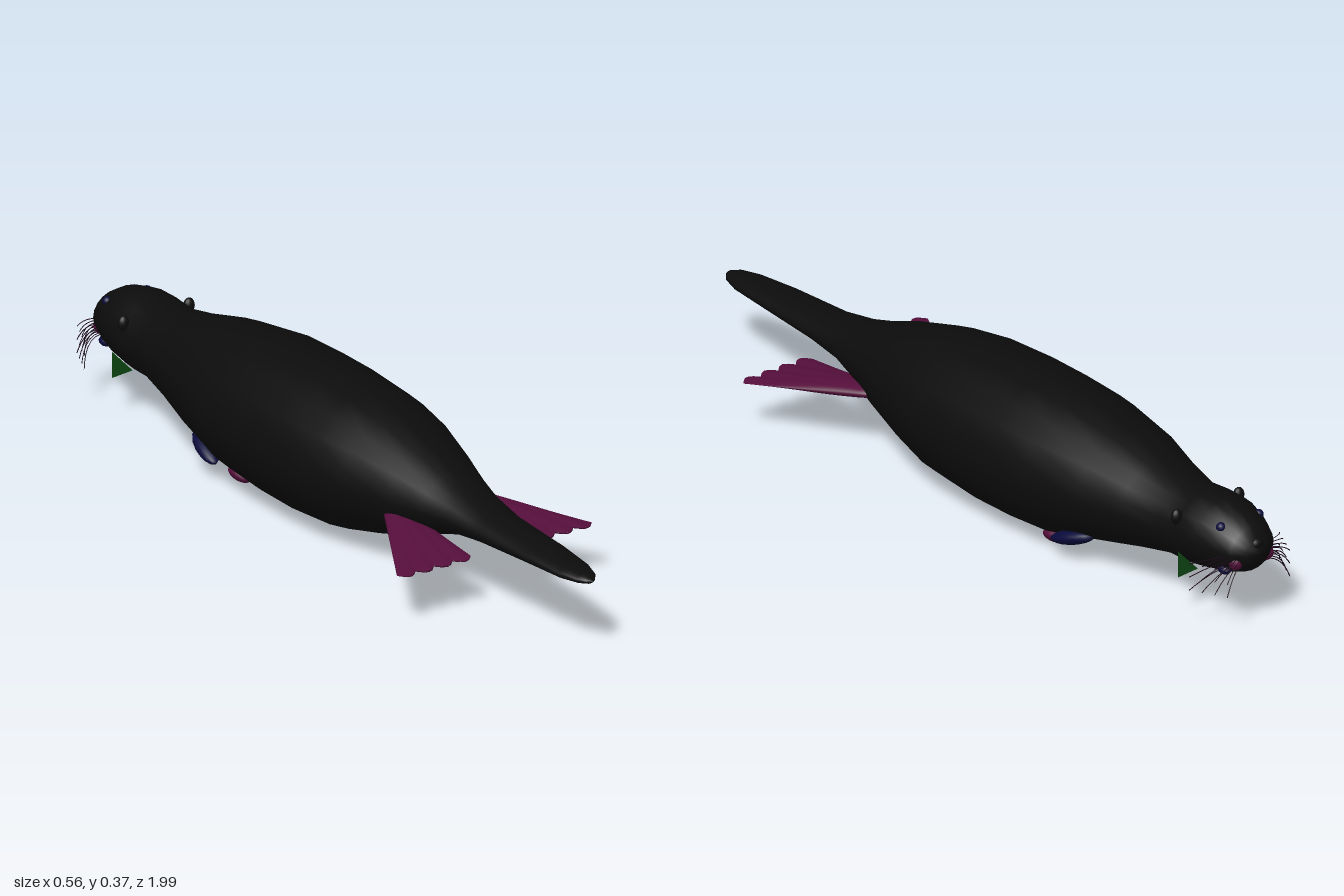
import * as THREE from 'three';

const mat = (name, color, side = THREE.FrontSide) => {
  const m = new THREE.MeshStandardMaterial({ color, side });
  m.name = name;
  return m;
};

// Smooth closed skin over rings; point(i, angle) returns [x, y, z], rings run towards +z
function loft(rings, sides, point) {
  const pos = [], index = [];
  for (let i = 0; i < rings; i++)
    for (let j = 0; j < sides; j++) pos.push(...point(i, (j / sides) * Math.PI * 2));
  for (let i = 0; i < rings - 1; i++)
    for (let j = 0; j < sides; j++) {
      const a = i * sides + j, b = i * sides + ((j + 1) % sides);
      index.push(a, a + sides, b, b, a + sides, b + sides);
    }
  const g = new THREE.BufferGeometry();
  g.setAttribute('position', new THREE.Float32BufferAttribute(pos, 3));
  g.setIndex(index);
  g.computeVertexNormals();
  return g;
}

export function createModel() {
  const model = new THREE.Group();
  const fur = mat('black fur', 0x0c0c0c);
  const web = mat('plum skin', 0x560f3c);
  const blue = mat('midnight blue', 0x0a0a3c);
  const green = mat('dark green', 0x0f4a14, THREE.DoubleSide);
  const bristle = mat('dark plum bristle', 0x1c0818);

  const add = (name, geometry, material) => {
    const m = new THREE.Mesh(geometry, material);
    m.name = name;
    model.add(m);
    return m;
  };
  const blob = (name, material, p, r, rot = [0, 0, 0]) => {
    const m = add(name, new THREE.SphereGeometry(1, 14, 10), material);
    m.position.set(...p);
    m.scale.set(...r);
    m.rotation.set(...rot);
  };

  // Head, trunk and tail as one skin: z, half width, top, bottom
  const stations = [
    [-0.992, 0.001, 0.201, 0.199], [-0.985, 0.035, 0.23, 0.17], [-0.96, 0.066, 0.26, 0.145],
    [-0.92, 0.083, 0.283, 0.13], [-0.86, 0.1, 0.297, 0.118], [-0.8, 0.104, 0.297, 0.108],
    [-0.73, 0.1, 0.292, 0.105], [-0.62, 0.125, 0.312, 0.083], [-0.5, 0.16, 0.342, 0.055],
    [-0.33, 0.192, 0.366, 0.014], [-0.2, 0.198, 0.37, 0.005], [-0.07, 0.198, 0.37, 0.003],
    [0.08, 0.192, 0.361, 0.015], [0.2, 0.168, 0.343, 0.045], [0.34, 0.128, 0.305, 0.085],
    [0.43, 0.1, 0.272, 0.122], [0.51, 0.08, 0.248, 0.148], [0.62, 0.066, 0.229, 0.162],
    [0.8, 0.057, 0.22, 0.175], [0.92, 0.045, 0.212, 0.179], [0.97, 0.029, 0.207, 0.183],
    [0.99, 0.013, 0.201, 0.187], [0.997, 0.001, 0.196, 0.194],
  ];
  add('body', loft(stations.length, 20, (i, a) => {
    const [z, w, top, bottom] = stations[i];
    return [w * Math.sin(a), (top + bottom) / 2 + ((top - bottom) / 2) * Math.cos(a), z];
  }), fur);

  blob('nose', fur, [0, 0.222, -0.977], [0.02, 0.014, 0.014]);

  for (const s of [1, -1]) {
    const side = s > 0 ? 'left' : 'right';

    // Webbed hind foot, thick at the ankle and scalloped at the toes
    const steps = 12;
    add(side + 'HindFoot', loft(steps + 3, 48, (i, a) => {
      const t = Math.min(Math.max(i - 1, 0) / steps, 1);
      const end = i === 0 || i === steps + 2 ? 0.01 : 1;
      const inner = 0.068, outer = 0.128 + 0.152 * t;
      const across = Math.sin(s * a);
      const toe = Math.abs(Math.sin(2 * Math.PI * (1 + across)));
      const h = (0.003 + 0.016 * Math.sin(Math.PI * Math.min(0.2 + t * 0.8, 1)) * (1 - t * 0.4))
        * (1 - 0.25 * t * (1 - toe)) * end;
      return [
        s * ((inner + outer) / 2 + ((outer - inner) / 2) * across),
        0.16 - 0.023 * t + h * Math.cos(a),
        0.325 + 0.27 * t + 0.02 * toe * t ** 6,
      ];
    }), web);

    // Folded front limb
    blob(side + 'Forearm', blue, [s * 0.113, 0.068, -0.43], [0.026, 0.018, 0.065], [0.3, s * 0.25, 0]);
    blob(side + 'FrontPaw', web, [s * 0.084, 0.026, -0.33], [0.026, 0.016, 0.036], [0.1, 0, s * 0.45]);

    // Face
    blob(side + 'Eye', blue, [s * 0.057, 0.258, -0.915], [0.012, 0.012, 0.012]);
    blob(side + 'Ear', fur, [s * 0.094, 0.252, -0.795], [0.015, 0.02, 0.012]);
    blob(side + 'MouthCorner', blue, [s * 0.055, 0.152, -0.925], [0.014, 0.012, 0.02]);
    blob(side + 'WhiskerPad', web, [s * 0.046, 0.178, -0.957], [0.018, 0.02, 0.017]);

    // Flat cheek flap
    const flap = new THREE.Shape([[0.05, 0.112], [0.11, 0.107], [0.11, 0.175]]
      .map(([x, y]) => new THREE.Vector2(s * x, y)));
    add(side + 'CheekFlap', new THREE.ShapeGeometry(flap), green).position.z = -0.82;

    // Drooping whiskers fanned over the muzzle
    for (let k = 0; k < 12; k++) {
      const row = k % 3, f = Math.floor(k / 3) / 3;
      const root = new THREE.Vector3(s * (0.045 + 0.012 * f), 0.165 + 0.014 * row, -0.965 + 0.025 * f);
      const reach = 0.05 + 0.03 * f;
      const mid = root.clone().add(new THREE.Vector3(s * reach * 0.6, 0.002 * row, -0.018 + 0.02 * f));
      const tip = root.clone().add(new THREE.Vector3(s * reach, -0.055 + 0.02 * row, -0.02 + 0.065 * f));
      const curve = new THREE.QuadraticBezierCurve3(root, mid, tip);
      add(side + 'Whisker', new THREE.TubeGeometry(curve, 6, 0.0012, 4), bristle);
    }
  }
  return model;
}
